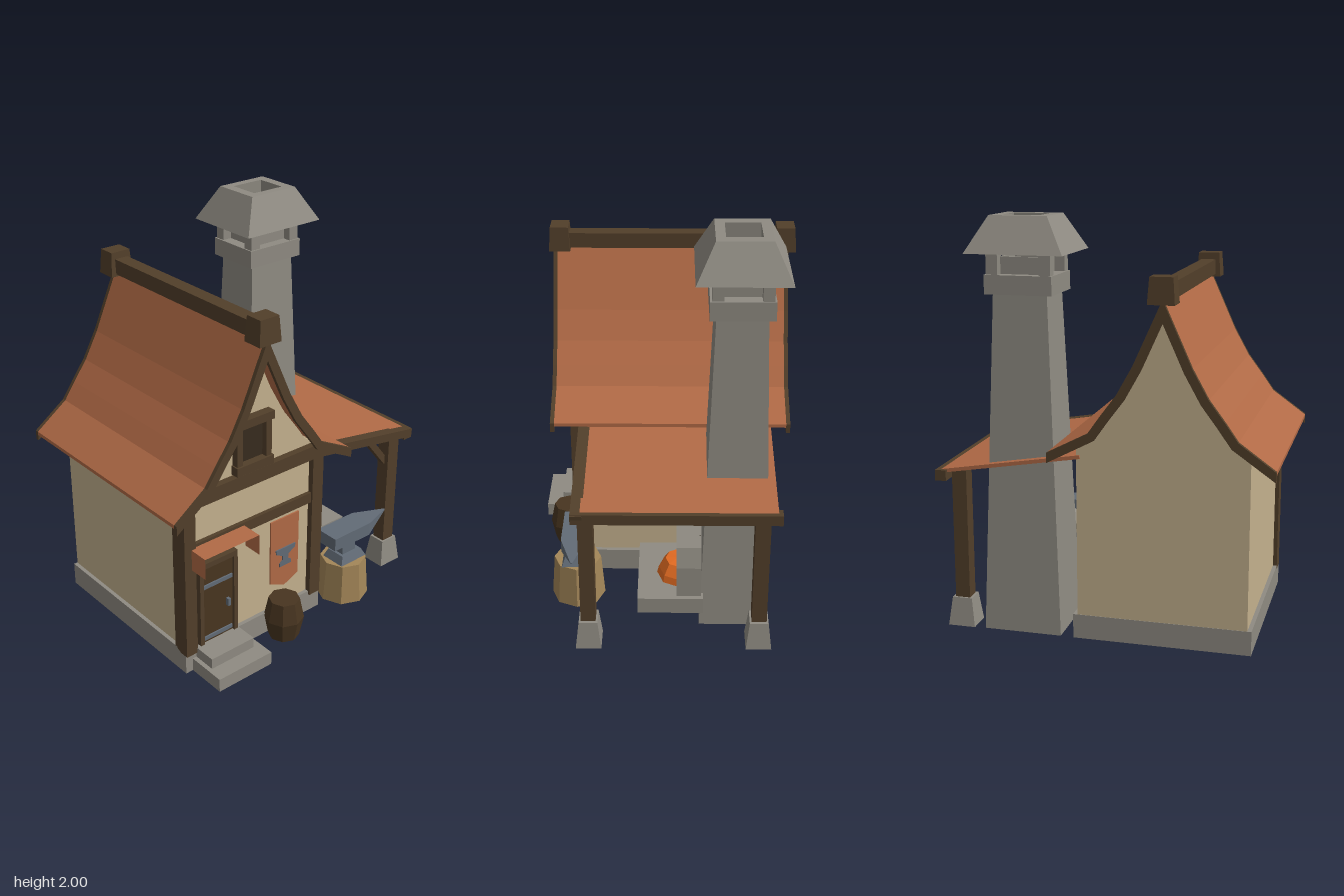
import * as THREE from 'three';

const mat = (name, color, side = THREE.FrontSide) => {
  const m = new THREE.MeshStandardMaterial({ color, side });
  m.name = name;
  return m;
};

export function createModel() {
  const root = new THREE.Group();
  root.name = 'smithy';
  const timber = mat('timber', 0x523f2a);
  const plaster = mat('plaster', 0xc4b18e);
  const stone = mat('stone', 0x8f8b82, THREE.DoubleSide);
  const tile = mat('roof tile', 0xb16a46, THREE.DoubleSide);
  const steel = mat('steel', 0x626b76);
  const ember = mat('ember', 0xe46c22);
  const darkWood = mat('dark wood', 0x483520);
  const stumpWood = mat('stump wood', 0xa38658);
  const soot = mat('soot', 0x382c1e);

  const add = (name, geo, m, x = 0, y = 0, z = 0) => {
    const mesh = new THREE.Mesh(geo, m);
    mesh.name = name;
    mesh.position.set(x, y, z);
    root.add(mesh);
    return mesh;
  };
  // box given by its limits
  const box = (name, m, x0, x1, y0, y1, z0, z1) =>
    add(name, new THREE.BoxGeometry(x1 - x0, y1 - y0, z1 - z0), m, (x0 + x1) / 2, (y0 + y1) / 2, (z0 + z1) / 2);
  const flat = (geo) => {
    const g = geo.index ? geo.toNonIndexed() : geo;
    g.computeVertexNormals();
    return g;
  };
  // four-sided block: half width and depth at the bottom, top scale k, standing on its origin
  const frustum = (hx, hz, k, h, open = false) =>
    flat(new THREE.CylinderGeometry(Math.SQRT2 * k, Math.SQRT2, h, 4, 1, open)
      .rotateY(Math.PI / 4).scale(hx, 1, hz).translate(0, h / 2, 0));
  const vecs = (pts) => pts.map(([x, y]) => new THREE.Vector2(x, y));
  const shape = (pts) => new THREE.Shape(vecs(pts));
  const extrude = (s, depth) => new THREE.ExtrudeGeometry(s, { depth, bevelEnabled: false, curveSegments: 3 });
  const rect = (x0, x1, y0, y1) => [[x0, y0], [x1, y0], [x1, y1], [x0, y1]];
  // sloping beam between two points in the xy plane
  const slant = (name, m, [x0, y0], [x1, y1], thick, z0, z1) => {
    const len = Math.hypot(x1 - x0, y1 - y0);
    const b = add(name, new THREE.BoxGeometry(len, thick, z1 - z0), m, (x0 + x1) / 2, (y0 + y1) / 2, (z0 + z1) / 2);
    b.rotation.z = Math.atan2(y1 - y0, x1 - x0);
  };

  // House body with flared gables
  const RX = -0.31;
  const half = [[0.345, 1.04], [0.285, 1.125], [0.21, 1.225], [0.135, 1.36]];
  const gable = half.map(([d, y]) => [d, y - 0.03]);
  add('walls', extrude(shape([
    [0.118, 0.02], [0.118, 0.955], ...gable.map(([d, y]) => [RX + d, y]), [RX, 1.62],
    ...gable.map(([d, y]) => [RX - d, y]).reverse(), [-0.7, 0.96], [-0.7, 0.02],
  ]), 0.953), plaster, 0, 0, -0.523);

  // Stone base as a rim around the floor
  const rim = shape(rect(-0.72, 0.14, -0.45, 0.525));
  rim.holes.push(new THREE.Path(vecs(rect(-0.68, 0.1, -0.41, 0.485))));
  add('stoneBase', extrude(rim, 0.12).rotateX(-Math.PI / 2), stone);

  // Curved roof sheet and its edge boards
  const profile = vecs([
    [-0.825, 0.918], ...half.map(([d, y]) => [RX - d, y]), [RX, 1.66],
    ...half.map(([d, y]) => [RX + d, y]).reverse(), [0.232, 0.938],
  ]);
  const strip = (t) => {
    const last = profile.length - 1;
    const normal = (a, b) => new THREE.Vector2(b.y - a.y, a.x - b.x).normalize();
    const inner = profile.map((p, i) => {
      if (i === 0 || i === last) return new THREE.Vector2(p.x, p.y - t * 1.15);
      const n0 = normal(profile[i - 1], p);
      const n = n0.clone().add(normal(p, profile[i + 1])).normalize();
      return p.clone().addScaledVector(n, t / Math.max(n.dot(n0), 0.4));
    });
    return new THREE.Shape([...profile, ...inner.reverse()]);
  };
  add('mainRoof', extrude(strip(0.016), 1.13), tile, 0, 0, -0.6);
  for (const z of [-0.62, 0.53]) add('roofEdgeBoard', extrude(strip(0.042), 0.02), timber, 0, 0, z);
  box('ridgeBeam', timber, -0.345, -0.272, 1.652, 1.728, -0.62, 0.54);
  for (const z of [-0.6, 0.515]) add('ridgeCap', frustum(0.062, 0.052, 0.86, 0.122), timber, RX, 1.64, z);

  // Timber frame of the front
  box('cornerPostRight', timber, -0.72, -0.655, 0.1, 0.92, 0.37, 0.46);
  box('cornerPostLeft', timber, 0.067, 0.135, 0.1, 0.92, 0.37, 0.46);
  box('topBeam', timber, -0.715, 0.137, 0.9, 0.972, 0.37, 0.465);
  box('middleBeam', timber, -0.655, 0.067, 0.65, 0.705, 0.4, 0.45);

  // Gable window
  box('windowPane', soot, -0.38, -0.24, 1.02, 1.22, 0.428, 0.436);
  box('windowLintel', timber, -0.42, -0.2, 1.213, 1.255, 0.42, 0.475);
  box('windowSill', timber, -0.42, -0.2, 0.98, 1.025, 0.42, 0.475);
  for (const x of [-0.413, -0.24]) box('windowJamb', timber, x, x + 0.033, 1.02, 1.22, 0.42, 0.465);

  // Door with hinges, handle and steps
  box('doorFrameTop', timber, -0.635, -0.408, 0.552, 0.58, 0.42, 0.46);
  for (const x of [-0.635, -0.43]) box('doorFrameSide', timber, x, x + 0.022, 0.12, 0.56, 0.42, 0.46);
  box('door', darkWood, -0.615, -0.428, 0.12, 0.555, 0.42, 0.447);
  for (const y of [0.14, 0.435]) box('doorHinge', steel, -0.61, -0.437, y, y + 0.02, 0.447, 0.455);
  box('doorHandle', steel, -0.47, -0.455, 0.285, 0.325, 0.447, 0.465);
  box('lowerStep', stone, -0.68, -0.36, 0, 0.07, 0.44, 0.655);
  box('upperStep', stone, -0.657, -0.4, 0.07, 0.125, 0.44, 0.57);

  // Thin awning over the door
  add('awningTop', new THREE.PlaneGeometry(0.32, 0.11).rotateX(-Math.PI / 2), tile, -0.52, 0.69, 0.505);
  for (const x of [-0.68, -0.36]) {
    add('awningSide', new THREE.PlaneGeometry(0.1, 0.108).rotateY(Math.PI / 2), tile, x, 0.636, 0.51);
  }

  // Hanging banner with an anvil silhouette
  add('banner', extrude(shape([[-0.2, 0.64], [-0.2, 0.285], [-0.11, 0.245], [-0.02, 0.285], [-0.02, 0.64]]), 0.008), tile, 0, 0, 0.452);
  add('bannerAnvil', extrude(shape([
    [-0.17, 0.47], [-0.045, 0.47], [-0.045, 0.45], [-0.09, 0.425], [-0.09, 0.4], [-0.07, 0.385], [-0.07, 0.367],
    [-0.145, 0.367], [-0.145, 0.385], [-0.125, 0.4], [-0.125, 0.425], [-0.165, 0.445],
  ]), 0.006), steel, 0, 0, 0.46);

  // Barrel and stump
  const barrel = [[0, 0], [0.078, 0], [0.1, 0.108], [0.078, 0.216], [0, 0.216]];
  add('barrel', flat(new THREE.LatheGeometry(vecs(barrel), 8)), darkWood, -0.153, 0, 0.512);
  add('stump', flat(new THREE.CylinderGeometry(0.118, 0.135, 0.218, 8)), stumpWood, 0.33, 0.109, 0.43);

  // Anvil
  add('anvilFoot', frustum(0.088, 0.07, 0.75, 0.045), steel, 0.335, 0.215, 0.435);
  box('anvilWaist', steel, 0.285, 0.375, 0.25, 0.335, 0.4, 0.47);
  box('anvilBody', steel, 0.2, 0.445, 0.33, 0.4, 0.37, 0.5);
  const horn = frustum(0.035, 0.065, 0.06, 0.175).rotateZ(-Math.PI / 2);
  horn.applyMatrix4(new THREE.Matrix4().makeShear(0.12, 0, 0, 0, 0, 0));
  add('anvilHorn', horn, steel, 0.445, 0.365, 0.435);

  // Lean-to roof, posts and braces
  slant('leanToRoof', tile, [0.1, 0.903], [0.79, 0.788], 0.018, -0.53, 0.37);
  slant('leanToFrontBeam', timber, [0.13, 0.885], [0.815, 0.77], 0.045, 0.36, 0.415);
  box('leanToEaveBeam', timber, 0.76, 0.815, 0.745, 0.797, -0.55, 0.415);
  for (const z of [0.353, -0.467]) {
    box('leanToPost', timber, 0.675, 0.748, 0.13, 0.79, z - 0.036, z + 0.036);
    add('postFoot', frustum(0.068, 0.062, 0.73, 0.142), stone, 0.712, 0, z);
  }
  slant('postBrace', timber, [0.53, 0.815], [0.695, 0.61], 0.035, 0.33, 0.365);

  // Chimney, open at the top
  const CX = 0.397, CZ = -0.352;
  add('chimneyShaft', frustum(0.193, 0.17, 0.675, 1.66, true), stone, CX, 0, CZ);
  const ring = (pts) => flat(new THREE.LatheGeometry(
    [...pts, pts[0]].map(([r, y]) => new THREE.Vector2(r * Math.SQRT2, y)), 4, Math.PI / 4).scale(1, 1, 0.89));
  add('chimneyCollar', ring([[0.163, 1.64], [0.163, 1.73], [0.1, 1.73], [0.1, 1.64]]), stone, CX, 0, CZ);
  add('chimneyFlue', ring([[0.105, 1.7], [0.105, 1.81], [0.09, 1.81], [0.09, 1.7]]), stone, CX, 0, CZ);
  for (const sx of [-1, 1]) for (const sz of [-1, 1]) {
    const x = CX + sx * 0.127, z = CZ + sz * 0.11;
    box('chimneyCapPost', stone, x - 0.028, x + 0.028, 1.73, 1.85, z - 0.026, z + 0.026);
  }
  add('chimneyCap', ring([[0.236, 1.83], [0.14, 2], [0.09, 2], [0.1, 1.83]]), stone, CX, 0, CZ);

  // Forge hearth, arch and glowing coals
  box('hearthSlab', stone, 0.163, 0.63, 0.1, 0.185, -0.2, 0.12);
  const arch = shape([[-0.21, 0.18], [-0.13, 0.18]]);
  arch.lineTo(-0.13, 0.36);
  arch.absellipse(0, 0.36, 0.13, 0.13, Math.PI, 0, true);
  arch.lineTo(0.13, 0.18);
  arch.lineTo(0.21, 0.18);
  arch.lineTo(0.21, 0.35);
  arch.absellipse(0, 0.35, 0.21, 0.205, 0, Math.PI, false);
  add('forgeArch', extrude(arch, 0.12), stone, CX, 0, -0.19);
  box('forgeInterior', soot, CX - 0.14, CX + 0.14, 0.18, 0.495, -0.188, -0.18);
  const coals = [[0.125, 0], [0.115, 0.035], [0.075, 0.085], [0, 0.092]];
  add('coals', flat(new THREE.LatheGeometry(vecs(coals), 8).scale(1, 1, 0.85)), ember, 0.41, 0.185, -0.08);

  return root;
}
